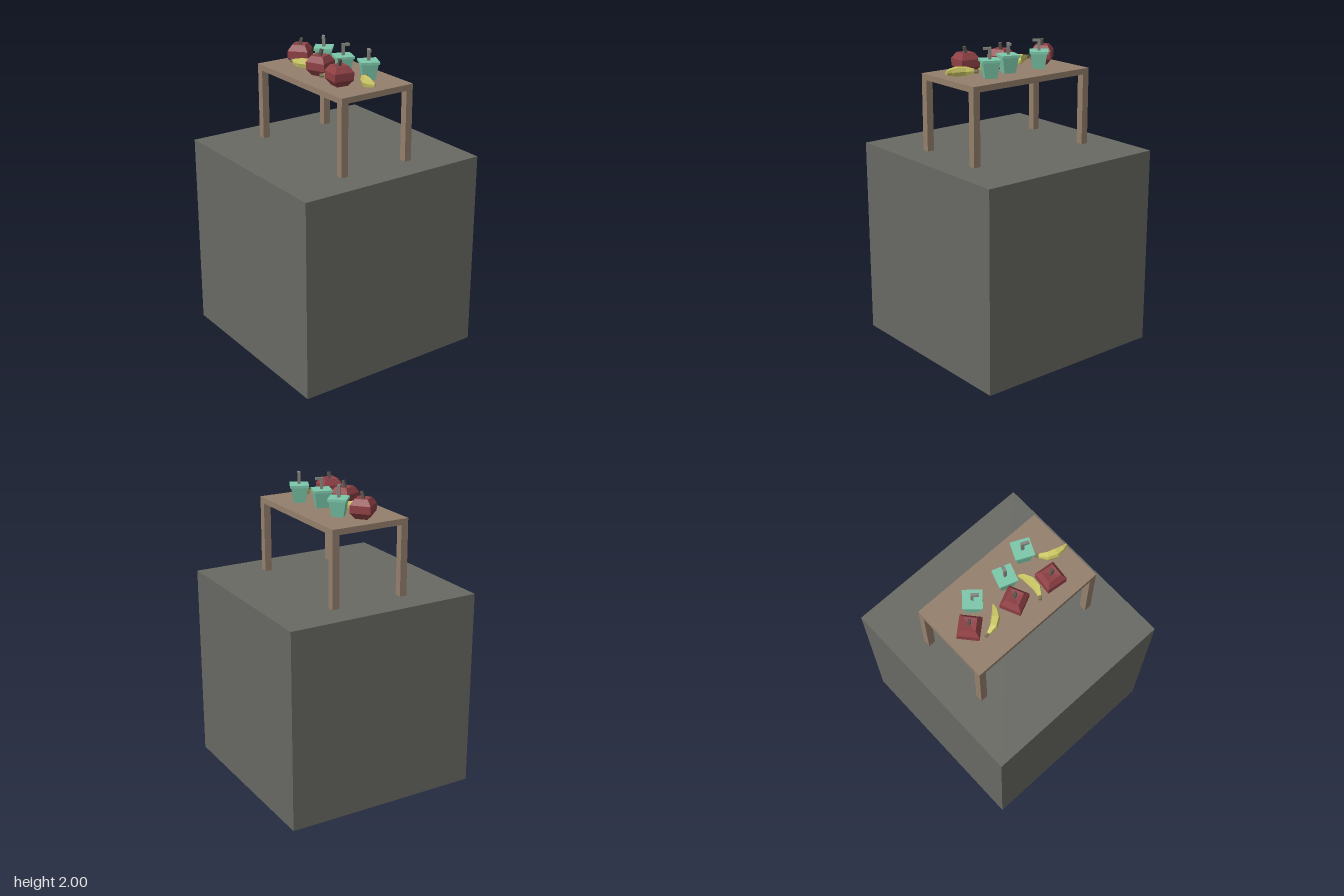
import * as THREE from 'three';

const mat = (color) => new THREE.MeshStandardMaterial({ color, flatShading: true });
const stone = mat(0x686963), wood = mat(0x957f6c), red = mat(0x8f4145), mint = mat(0x7cc8aa);
const yellow = mat(0xcdc865), darkStem = mat(0x5c5650), straw = mat(0x85857f), peel = mat(0x7d7858);

function add(parent, name, geometry, material, x = 0, y = 0, z = 0) {
  const mesh = new THREE.Mesh(geometry, material);
  mesh.name = name;
  mesh.position.set(x, y, z);
  parent.add(mesh);
  return mesh;
}

const box = (w, h, d) => new THREE.BoxGeometry(w, h, d);

// Square solid of stacked sections, given as [half side, height]
function squareLathe(profile) {
  const points = profile.map(([half, y]) => new THREE.Vector2(half * Math.SQRT2, y));
  return new THREE.LatheGeometry(points, 4, Math.PI / 4);
}

// Curved hexagonal solid lofted through [x, z, half width, half height]
function loft(sections) {
  const ring = [[-1, 0], [-0.7, 1], [0.7, 1], [1, 0], [0.7, -1], [-0.7, -1]];
  const n = ring.length, pos = [], index = [];
  sections.forEach(([x, z, w, h], i) => {
    const a = sections[Math.max(i - 1, 0)], b = sections[Math.min(i + 1, sections.length - 1)];
    const len = Math.hypot(b[0] - a[0], b[1] - a[1]);
    const tx = (b[0] - a[0]) / len, tz = (b[1] - a[1]) / len;
    for (const [u, v] of ring) pos.push(x - tz * u * w, v * h, z + tx * u * w);
  });
  for (let i = 0; i < sections.length - 1; i++) {
    for (let j = 0; j < n; j++) {
      const a = i * n + j, b = i * n + (j + 1) % n;
      index.push(a, b, a + n, b, b + n, a + n);
    }
  }
  // end caps
  const last = (sections.length - 1) * n;
  for (let j = 1; j < n - 1; j++) index.push(0, j + 1, j, last, last + j, last + j + 1);
  const geometry = new THREE.BufferGeometry();
  geometry.setAttribute('position', new THREE.Float32BufferAttribute(pos, 3));
  geometry.setIndex(index);
  geometry.computeVertexNormals();
  return geometry;
}

function apple() {
  const g = new THREE.Group();
  add(g, 'appleBody', squareLathe([[0, 0], [0.038, 0], [0.066, 0.04], [0.066, 0.088], [0.042, 0.126], [0, 0.12]]), red);
  add(g, 'appleStem', box(0.018, 0.05, 0.017), darkStem, 0.004, 0.14, 0).rotation.z = -0.25;
  return g;
}

function cup() {
  const g = new THREE.Group();
  add(g, 'cupBody', squareLathe([[0, 0], [0.037, 0], [0.053, 0.1], [0, 0.1]]), mint);
  add(g, 'cupLid', box(0.12, 0.016, 0.12), mint, 0, 0.108, 0);
  add(g, 'strawUpright', box(0.017, 0.09, 0.018), straw, 0, 0.145, 0);
  add(g, 'strawBend', box(0.048, 0.016, 0.018), straw, 0.016, 0.182, 0);
  return g;
}

// The stem tip is at the origin and the fruit bends towards +z
function banana() {
  const g = new THREE.Group();
  const body = [[0.02, 0.014, 0.012, 0.014], [0.069, 0.034, 0.024, 0.026], [0.125, 0.033, 0.027, 0.028],
    [0.17, 0.019, 0.017, 0.021], [0.2, 0, 0.006, 0.01]];
  add(g, 'bananaBody', loft(body), yellow);
  add(g, 'bananaStem', loft([[0, 0, 0.01, 0.011], [0.024, 0.017, 0.01, 0.011]]), peel);
  return g;
}

export function createModel() {
  const model = new THREE.Group();
  model.name = 'fruitTable';

  add(model, 'plinth', box(1.31, 1.31, 1.31), stone, 0, 0.655, 0);

  // table
  const table = new THREE.Group();
  table.name = 'table';
  model.add(table);
  add(table, 'tableTop', box(0.93, 0.038, 0.534), wood, 0, 1.791, 0);
  for (const sx of [-1, 1]) {
    for (const sz of [-1, 1]) add(table, 'tableLeg', box(0.048, 0.462, 0.048), wood, sx * 0.441, 1.541, sz * 0.243);
  }

  // food on the table: [x, z, turn]
  const place = (name, make, y, spots) => spots.forEach(([x, z, turn]) => {
    const item = make();
    item.name = name;
    item.position.set(x, y, z);
    item.rotation.y = turn;
    model.add(item);
  });
  place('apple', apple, 1.81, [[-0.326, 0.03, 0.71], [-0.022, 0.082, 0.42], [0.232, 0.118, -0.11]]);
  place('cup', cup, 1.81, [[-0.209, -0.074, -0.72], [0.03, -0.056, 1.24], [0.22, -0.112, -0.44]]);
  place('banana', banana, 1.847, [[-0.289, 0.123, 0.61], [0.1, 0.172, 1.52], [0.272, -0.06, -0.4]]);
  return model;
}
